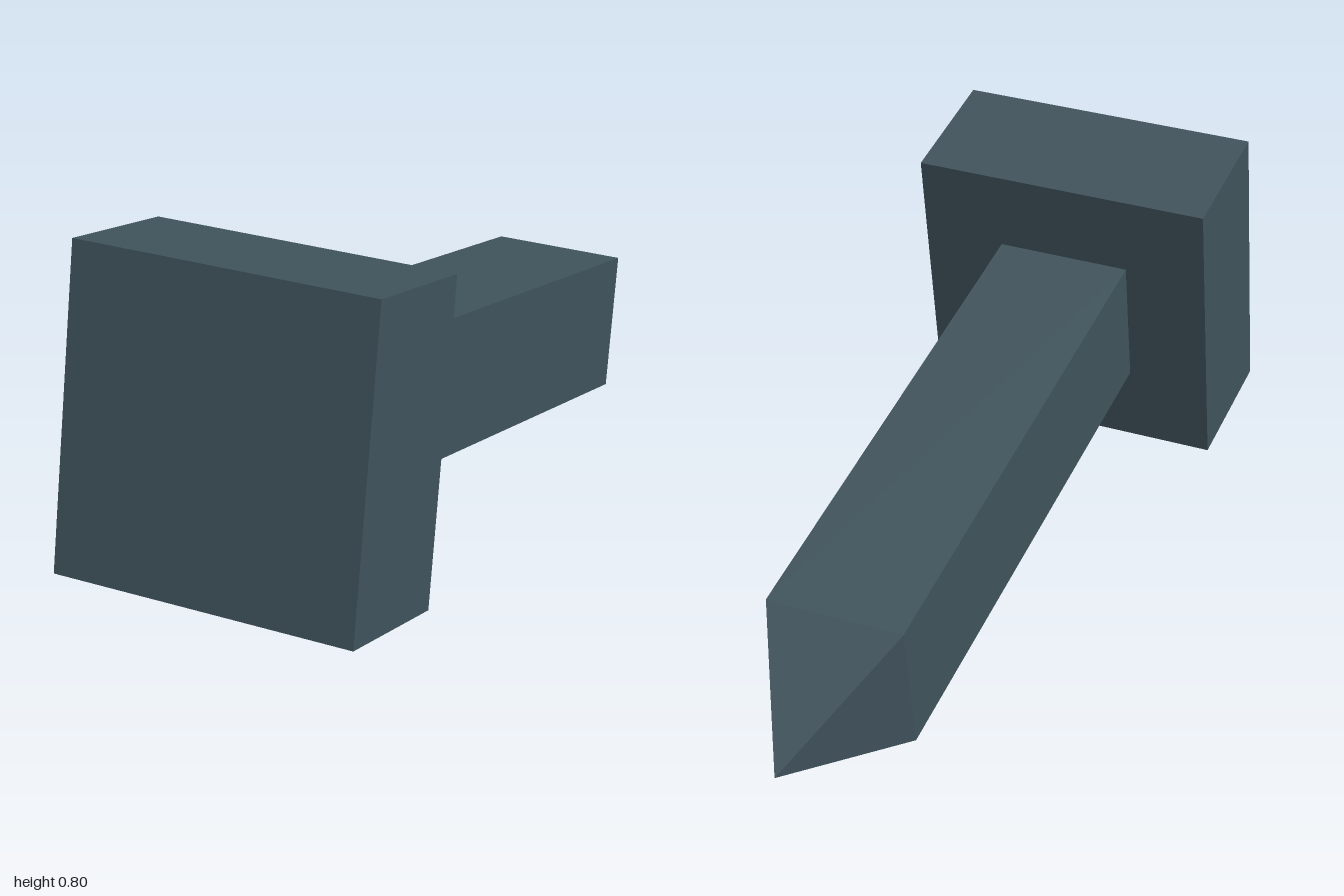
import * as THREE from 'three';

export function createModel() {
  const model = new THREE.Group();
  const slate = new THREE.MeshStandardMaterial({ color: 0x40535c });
  slate.name = 'slate';

  const headSize = 0.726, headDepth = 0.325;
  const shaftSize = 0.325, shaftLength = 1.31, tipLength = 0.33;

  // Bolt laid along -z, tilted so the point dips; origin at the head's front face
  const bolt = new THREE.Group();
  bolt.name = 'bolt';
  bolt.position.set(0, 0.4475, 0.9375);
  bolt.rotation.x = -THREE.MathUtils.degToRad(10);
  model.add(bolt);

  const add = (name, geometry, z) => {
    const mesh = new THREE.Mesh(geometry, slate);
    mesh.name = name;
    mesh.position.z = z;
    bolt.add(mesh);
  };

  // Square head and shaft
  add('head', new THREE.BoxGeometry(headSize, headSize, headDepth), -headDepth / 2);
  add('shaft', new THREE.BoxGeometry(shaftSize, shaftSize, shaftLength), -headDepth - shaftLength / 2);

  // Four-sided point
  const tip = new THREE.ConeGeometry(shaftSize * Math.SQRT1_2, tipLength, 4, 1, true)
    .rotateY(Math.PI / 4)
    .rotateX(-Math.PI / 2)
    .toNonIndexed();
  tip.computeVertexNormals();
  add('tip', tip, -headDepth - shaftLength - tipLength / 2);

  return model;
}
